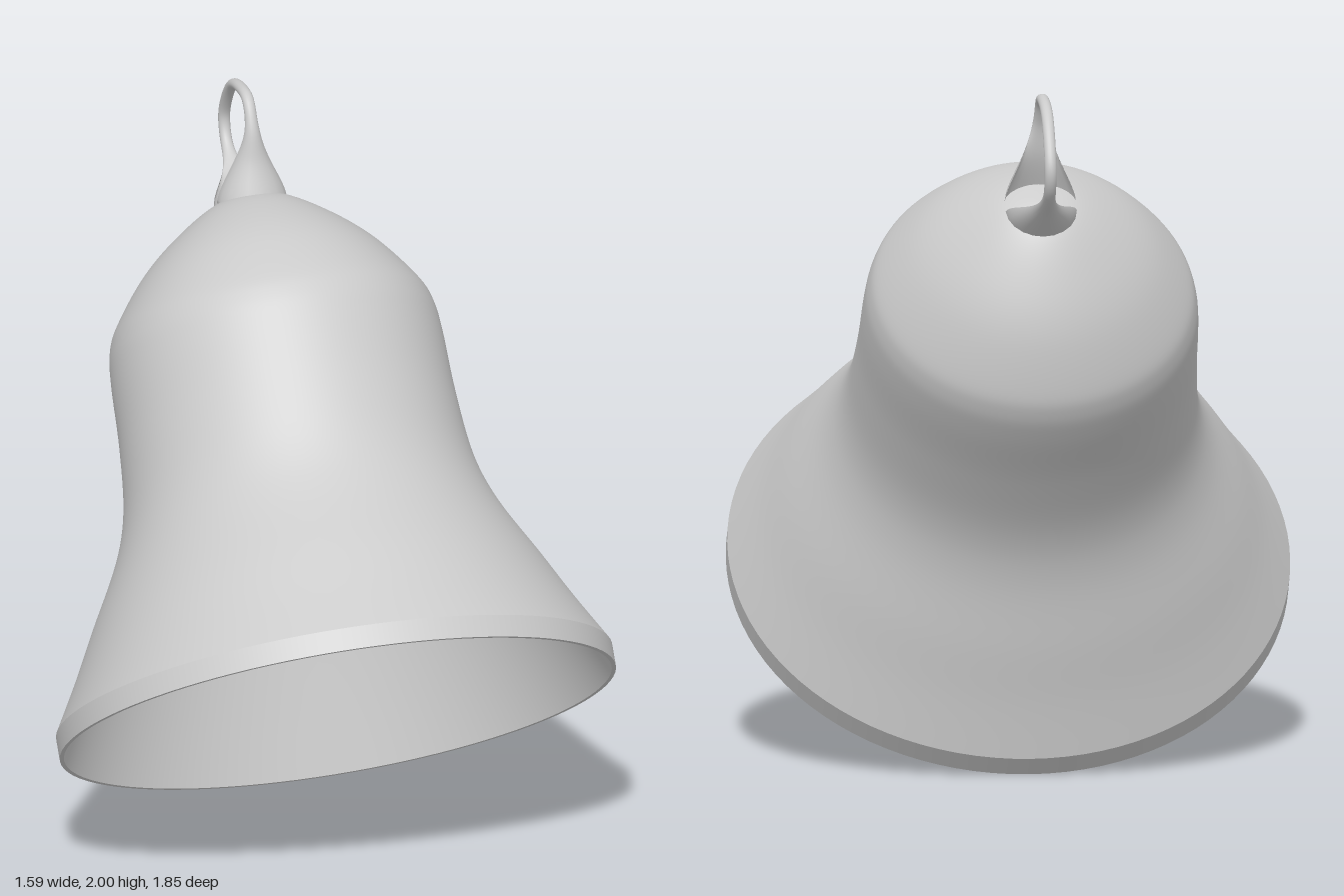
import * as THREE from 'three';

const material = new THREE.MeshStandardMaterial({ color: 0xcccccc });
const doubleSided = new THREE.MeshStandardMaterial({ color: 0xcccccc, side: THREE.DoubleSide });

const v2 = ([x, y]) => new THREE.Vector2(x, y);

function addMesh(parent, name, geometry, mat = material) {
  const mesh = new THREE.Mesh(geometry, mat);
  mesh.name = name;
  parent.add(mesh);
  return mesh;
}

// Smooth curve through [radius, height] points, ready for a lathe
const smooth = (points, n) => new THREE.SplineCurve(points.map(v2)).getPoints(n);

// Hanging loop: a strap that is round at the top and fans out into curved feet
function loopGeometry() {
  const path = new THREE.CatmullRomCurve3([
    [0.095, 1.48], [0.126, 1.58], [0.172, 1.68], [0.178, 1.755], [0.13, 1.8], [0.04, 1.837],
    [-0.065, 1.82], [-0.125, 1.785], [-0.147, 1.725], [-0.117, 1.605], [-0.085, 1.48],
  ].map(([z, y]) => new THREE.Vector3(0, y, z)));
  const rows = 72, half = 10, ring = half * 2;
  const positions = [], index = [];
  for (let i = 0; i <= rows; i++) {
    const t = i / rows;
    const p = path.getPointAt(t), d = path.getTangentAt(t);
    const foot = 1 - THREE.MathUtils.smoothstep(p.y, 1.47, 1.76);
    const width = 0.017 + 0.085 * foot * foot;
    const sag = 0.075 * foot * foot;
    const thick = 0.015 + 0.004 * foot;
    for (let j = 0; j < ring; j++) {
      const a = (j / ring) * Math.PI * 2;
      const n = thick * Math.cos(a) - sag * (1 - Math.abs(Math.cos(a)));
      // outward normal of the path in the x = 0 plane
      positions.push(width * Math.sin(a), p.y + n * d.z * -1, p.z + n * d.y);
      if (i < rows) {
        const k = (j + 1) % ring, A = i * ring + j, B = i * ring + k;
        index.push(A, B, A + ring, B, B + ring, A + ring);
      }
    }
  }
  const g = new THREE.BufferGeometry();
  g.setAttribute('position', new THREE.Float32BufferAttribute(positions, 3));
  g.setIndex(index);
  g.computeVertexNormals();
  return g;
}

export function createModel() {
  const model = new THREE.Group();
  model.name = 'bell';

  // Everything is built upright around the bell's axis, then tilted
  const tilted = new THREE.Group();
  tilted.name = 'tiltedBell';
  tilted.position.set(0, 0.5, 0.31);
  tilted.rotation.x = -0.679;
  model.add(tilted);

  // Outer wall: flared skirt, straight waist, rounded shoulder and domed crown
  const outer = [
    [0.797, 0.064], [0.72, 0.2], [0.648, 0.338], [0.55, 0.522], [0.502, 0.67], [0.482, 0.86],
    [0.475, 1.04], [0.464, 1.13], [0.433, 1.2], [0.34, 1.322], [0.233, 1.418], [0.11, 1.497], [0, 1.525],
  ];
  addMesh(tilted, 'outerWall', new THREE.LatheGeometry(smooth(outer, 72), 96));

  // Rim: upright band and thin lip
  addMesh(tilted, 'rimBand', new THREE.LatheGeometry([[0.797, 0], [0.797, 0.064]].map(v2), 96));
  addMesh(tilted, 'rimLip', new THREE.LatheGeometry([[0.785, 0], [0.797, 0]].map(v2), 96));

  // Inner wall, running from crown down to lip so that it faces inwards
  const inner = [
    [0, 1.495], [0.1, 1.467], [0.22, 1.39], [0.32, 1.298], [0.405, 1.18], [0.435, 1.11],
    [0.445, 1.03], [0.452, 0.86], [0.472, 0.67], [0.52, 0.515], [0.618, 0.33], [0.7, 0.17], [0.785, 0],
  ];
  addMesh(tilted, 'innerWall', new THREE.LatheGeometry(smooth(inner, 72), 96));

  // Clapper on its rod
  const rod = addMesh(tilted, 'clapperRod', new THREE.CylinderGeometry(0.02, 0.02, 0.72, 16));
  rod.position.y = 1.13;
  const ball = addMesh(tilted, 'clapperBall', new THREE.SphereGeometry(0.118, 32, 24));
  ball.position.y = 0.72;

  addMesh(tilted, 'hangingLoop', loopGeometry(), doubleSided);
  return model;
}
